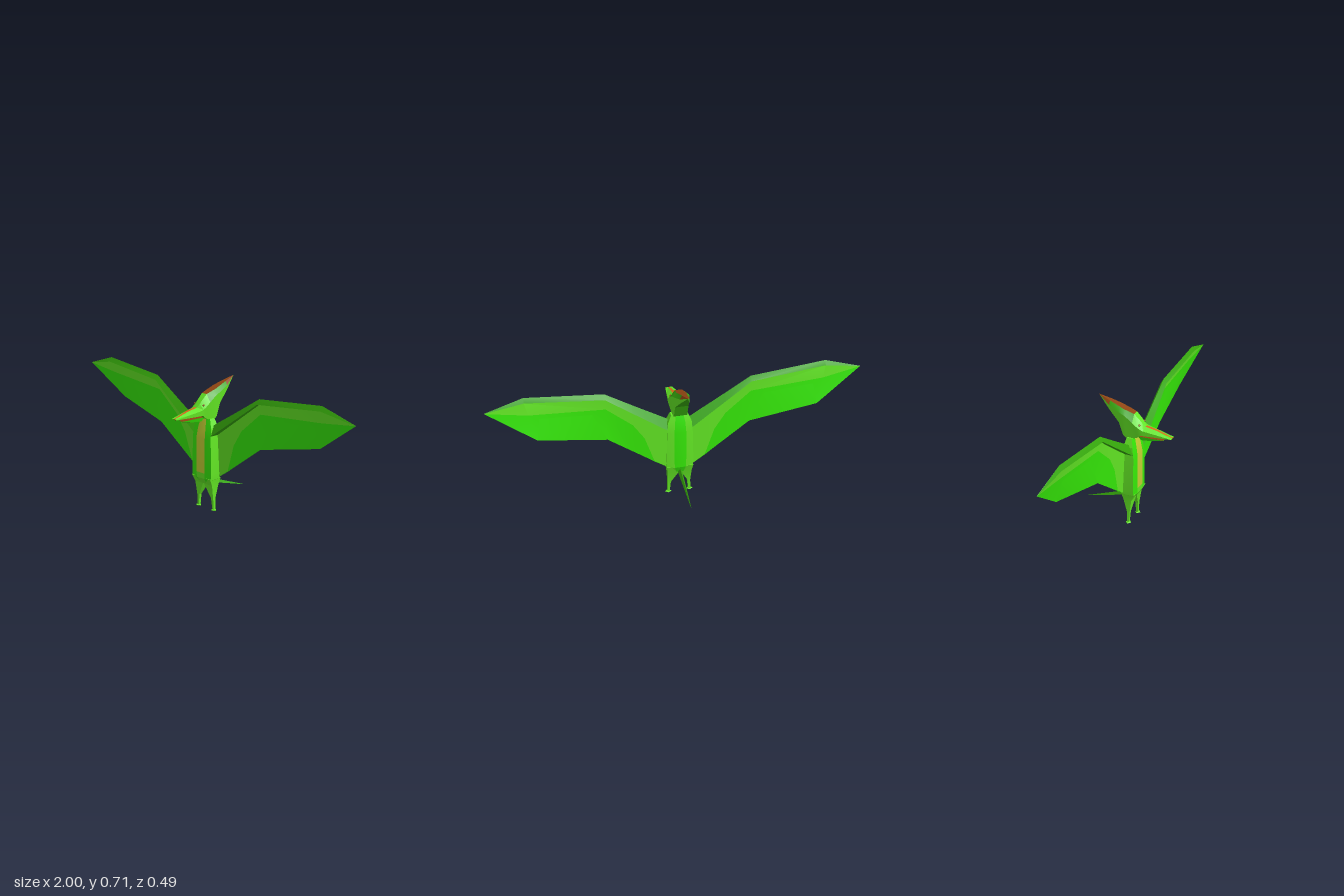
import * as THREE from 'three';
import { toCreasedNormals } from 'three/addons/utils/BufferGeometryUtils.js';

const mat = (name, color) => {
  const m = new THREE.MeshStandardMaterial({ color, side: THREE.DoubleSide });
  m.name = name;
  return m;
};

export function createModel() {
  const mats = [
    mat('wingGreen', 0x36ec08), mat('lightGreen', 0x62e624), mat('darkGreen', 0x36a80c),
    mat('bellyOlive', 0xbfcc32), mat('crestBrown', 0x8f4512), mat('beakOrange', 0xd8661a),
  ];
  const [WING, LIGHT, DARK, BELLY, BROWN, ORANGE] = [0, 1, 2, 3, 4, 5];
  const model = new THREE.Group();

  // Closed skin over a row of rings; colour(row, side) picks the material, row -1 is a cap
  function loft(name, rings, colour) {
    const tris = [];
    const n = rings[0].length;
    const add = (a, b, c, m) => {
      const [A, B, C] = [a, b, c].map((p) => new THREE.Vector3(...p));
      const area = B.clone().sub(A).cross(C.clone().sub(A)).length();
      if (area > 1e-9) tris.push({ p: [A, B, C], m });
    };
    for (let r = 0; r < rings.length - 1; r++) {
      for (let i = 0; i < n; i++) {
        const j = (i + 1) % n, m = colour(r, i);
        add(rings[r][i], rings[r][j], rings[r + 1][j], m);
        add(rings[r][i], rings[r + 1][j], rings[r + 1][i], m);
      }
    }
    const last = rings[rings.length - 1];
    for (let i = 1; i < n - 1; i++) {
      add(rings[0][0], rings[0][i + 1], rings[0][i], colour(-1, i));
      add(last[0], last[i], last[i + 1], colour(-1, i));
    }
    // Face outwards whichever way the rings run
    const c = new THREE.Vector3(...rings[0][0]);
    let volume = 0;
    for (const { p } of tris) {
      const [a, b, d] = p.map((v) => v.clone().sub(c));
      volume += a.dot(b.cross(d));
    }
    const geo = new THREE.BufferGeometry();
    const pts = [];
    tris.sort((a, b) => a.m - b.m).forEach(({ p, m }, i) => {
      pts.push(...(volume < 0 ? [p[0], p[2], p[1]] : p));
      geo.addGroup(i * 3, 3, m);
    });
    geo.setFromPoints(pts);
    const mesh = new THREE.Mesh(toCreasedNormals(geo, 0.3), mats);
    mesh.name = name;
    model.add(mesh);
  }

  // Torso: eight-sided sections [y, half width, front z, back z, stripe half width]
  const torso = [
    [0.145, 0.045, 0.045, 0.0, 0.02], [0.18, 0.072, 0.067, -0.012, 0.03],
    [0.21, 0.074, 0.067, -0.012, 0.032], [0.4, 0.069, 0.067, -0.012, 0.032],
    [0.46, 0.064, 0.057, -0.006, 0.028], [0.505, 0.045, 0.045, 0.005, 0.02],
  ].map(([y, w, f, b, s]) => {
    const c = (f - b) * 0.1;
    return [[s, y, f], [w, y, f - c], [w, y, b + c], [s, y, b],
      [-s, y, b], [-w, y, b + c], [-w, y, f - c], [-s, y, f]];
  });
  loft('torso', torso, (r, i) => (i === 7 && r > 1 ? BELLY : i === 3 || i === 0 || i === 6 ? WING : LIGHT));

  // Head, upper beak and crest: [z, half width, top y, middle y, bottom y, top half width, bottom half width]
  const head = [
    [0.248, 0.02, 0.533, 0.531, 0.529, 0.004, 0.019], [0.16, 0.033, 0.56, 0.547, 0.53, 0.008, 0.032],
    [0.1, 0.041, 0.571, 0.557, 0.53, 0.009, 0.04], [0.085, 0.043, 0.588, 0.563, 0.53, 0.014, 0.041],
    [0.07, 0.045, 0.606, 0.572, 0.515, 0.016, 0.038], [0.04, 0.046, 0.635, 0.595, 0.5, 0.018, 0.036],
    [0.0, 0.046, 0.649, 0.625, 0.5, 0.022, 0.036], [-0.015, 0.045, 0.653, 0.632, 0.51, 0.023, 0.036],
    [-0.04, 0.041, 0.663, 0.64, 0.58, 0.022, 0.036], [-0.1, 0.026, 0.683, 0.662, 0.637, 0.014, 0.024],
    [-0.168, 0.001, 0.703, 0.702, 0.701, 0.0005, 0.001],
  ].map(([z, w, t, m, b, s, u]) => [[s, t, z], [w, m, z], [u, b, z],
    [-u, b, z], [-w, m, z], [-s, t, z]]);
  loft('head', head, (r, i) => {
    if (i === 5) return r < 2 ? ORANGE : r < 5 ? LIGHT : BROWN;
    if (i === 2) return r < 3 ? BROWN : DARK;
    if (i === 0 || i === 4) return r >= 9 ? BROWN : r >= 5 ? DARK : LIGHT;
    return LIGHT;
  });

  // Lower jaw: [z, half width, top y, bottom y]
  const jaw = [
    [0.203, 0.014, 0.514, 0.511], [0.14, 0.026, 0.517, 0.501],
    [0.085, 0.034, 0.52, 0.498], [0.07, 0.034, 0.521, 0.512], [0.045, 0.03, 0.521, 0.505],
  ].map(([z, w, t, b]) => [[w, t, z], [w * 0.8, b, z], [-w * 0.8, b, z], [-w, t, z]]);
  loft('lowerJaw', jaw, (r, i) => (i === 3 ? BROWN : WING));

  // Tail spike
  loft('tail', [
    [[0, 0.17, 0.005], [0.012, 0.145, 0.0], [-0.012, 0.145, 0.0]],
    [[0, 0.078, -0.245], [0.001, 0.076, -0.245], [-0.001, 0.076, -0.245]],
  ], () => DARK);

  // Wing stations: front edge [x, y, z], ridge rise, back edge z, trailing edge [x, y, z], light share
  const stations = [
    [[0.06, 0.413, 0.057], 0.06, 0.0, [0.06, 0.18, 0.0], 1],
    [[0.12, 0.455, 0.055], 0.054, 0.002, [0.14, 0.232, 0.002], 0.98],
    [[0.19, 0.504, 0.052], 0.046, 0.005, [0.19, 0.268, 0.004], 0.5],
    [[0.25, 0.546, 0.05], 0.04, 0.007, [0.25, 0.31, 0.006], 0.3],
    [[0.39, 0.645, 0.045], 0.026, 0.012, [0.385, 0.405, 0.01], 0.23],
    [[0.8, 0.685, 0.04], 0.025, 0.014, [0.75, 0.48, -0.024], 0.32],
    [[1.0, 0.65, 0.022], 0.001, 0.019, [0.998, 0.649, 0.02], 0.5],
  ];
  // Ridge front, bone underside, light and plain membrane front, then the same behind
  const wingSides = [DARK, DARK, LIGHT, WING, WING, LIGHT, DARK];

  for (const side of [1, -1]) {
    const label = side > 0 ? 'left' : 'right';
    const mirror = (rings) => rings.map((ring) => ring.map(([x, y, z]) => [x * side, y, z]));

    loft(label + 'Wing', mirror(stations.map(([f, rise, bz, t, share]) => {
      const back = [f[0], f[1], bz];
      const inner = [f[0], f[1], Math.min(bz + 0.008, f[2])];
      const mix = (p) => p.map((v, i) => v + (t[i] - v) * share);
      return [[f[0], f[1] + rise, (f[2] + bz) / 2], f, inner, mix(inner), t, mix(back), back];
    })), (r, i) => (r < 0 ? WING : wingSides[i]));

    // Leg: [y, inner x, outer x, front z, back z]
    loft(label + 'Leg', mirror([
      [0.185, 0.0, 0.072, 0.066, -0.011], [0.145, 0.004, 0.066, 0.046, 0.0],
      [0.07, 0.046, 0.063, 0.035, 0.019], [0.006, 0.053, 0.064, 0.031, 0.02],
    ].map(([y, a, b, f, k]) => [[a, y, f], [b, y, f], [b, y, k], [a, y, k]])),
    () => LIGHT);

    // Foot: small flat pad
    const foot = new THREE.Mesh(toCreasedNormals(new THREE.OctahedronGeometry(0.016), 0.3), mats[LIGHT]);
    foot.name = label + 'Foot';
    foot.position.set(0.06 * side, 0.006, 0.027);
    foot.scale.set(1.2, 0.37, 1);
    model.add(foot);

    // Eye
    const eye = new THREE.Mesh(toCreasedNormals(new THREE.IcosahedronGeometry(0.006, 0), 0.3), mats[BROWN]);
    eye.name = label + 'Eye';
    eye.position.set(0.033 * side, 0.583, 0.076);
    model.add(eye);
  }
  return model;
}
